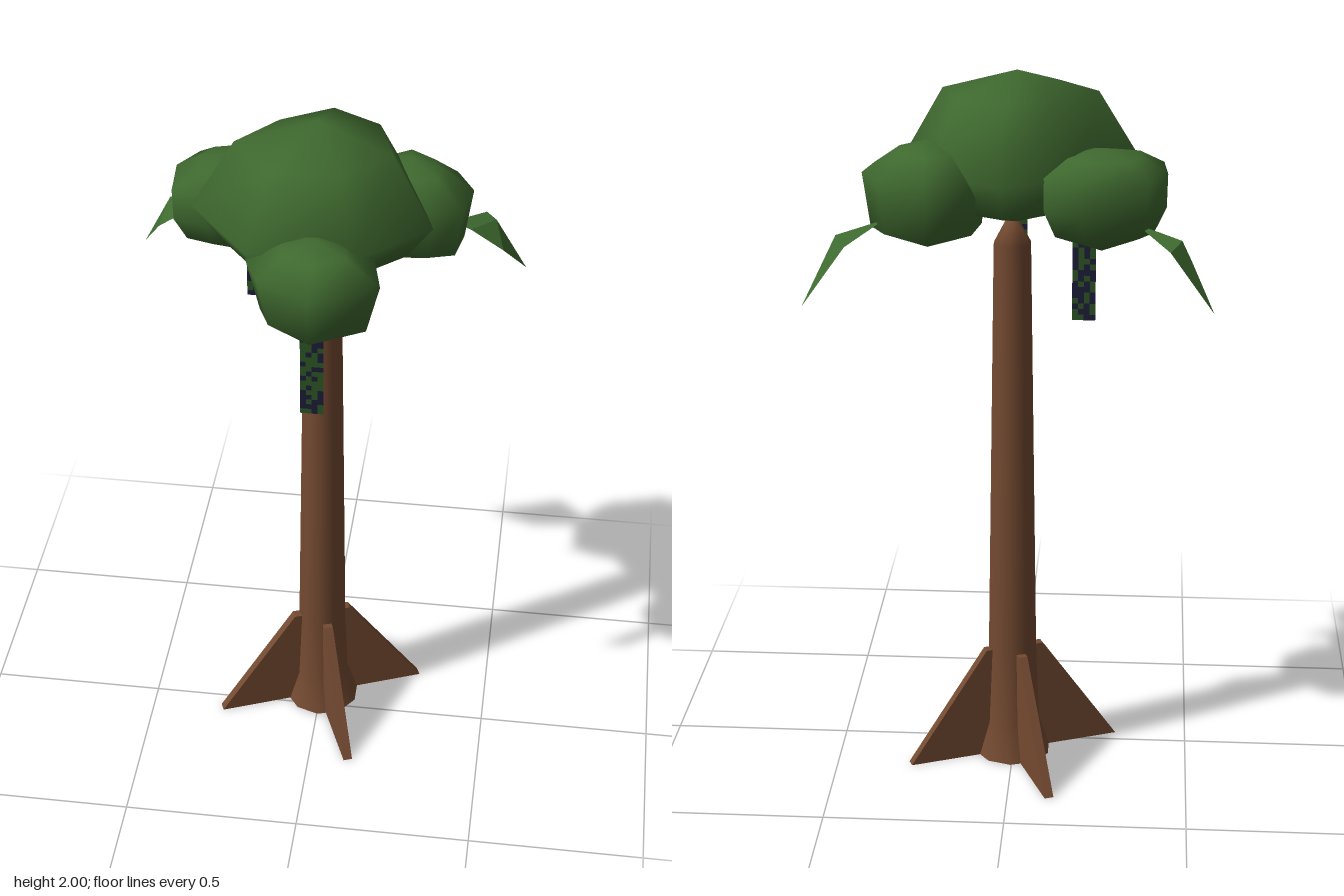
import * as THREE from 'three';

const mat = (name, color, side = THREE.FrontSide) => {
  const m = new THREE.MeshStandardMaterial({ color, side });
  m.name = name;
  return m;
};

// Closed faceted mass: one outline, scaled about its centre at each [y, scale] level, with end poles
function loft(outline, [cx, cz], levels, yBottom, yTop) {
  const n = outline.length, pos = [cx, yBottom, cz], index = [];
  for (const [y, s] of levels)
    for (const [x, z] of outline) pos.push(cx + (x - cx) * s, y, cz + (z - cz) * s);
  pos.push(cx, yTop, cz);
  const top = 1 + n * levels.length, last = top - n;
  for (let i = 0; i < n; i++) {
    const j = (i + 1) % n;
    index.push(0, 1 + j, 1 + i, top, last + i, last + j);
    for (let k = 0; k < levels.length - 1; k++) {
      const a = 1 + k * n + i, b = 1 + k * n + j;
      index.push(a, b, b + n, a, b + n, a + n);
    }
  }
  const g = new THREE.BufferGeometry();
  g.setAttribute('position', new THREE.Float32BufferAttribute(pos, 3));
  g.setIndex(index);
  g.computeVertexNormals();
  return g;
}

export function createModel() {
  const model = new THREE.Group();
  const bark = mat('bark', 0x744a31);
  const foliage = mat('foliage', 0x3f692f);
  const leafGreen = mat('leafGreen', 0x3f6c30, THREE.DoubleSide);
  const vineNavy = mat('vineNavy', 0x1d1d3a, THREE.DoubleSide);
  const vineGreen = mat('vineGreen', 0x2d5524, THREE.DoubleSide);

  const add = (name, geometry, material, parent = model) => {
    const mesh = new THREE.Mesh(geometry, material);
    mesh.name = name;
    parent.add(mesh);
    return mesh;
  };

  // Trunk with flared foot and tapered tip
  const profile = [[0.11, 0], [0.08, 0.1], [0.07, 0.33], [0.052, 1.53], [0.02, 1.59], [0, 1.59]];
  add('trunk', new THREE.LatheGeometry(profile.map(p => new THREE.Vector2(...p)), 10), bark)
    .position.set(0.003, 0, -0.065);
  const foot = add('trunkFoot', new THREE.CircleGeometry(0.11, 10), bark);
  foot.rotation.x = Math.PI / 2;
  foot.position.set(0.003, 0, -0.065);

  // Four buttress roots
  const fin = new THREE.Shape([[0, 0], [0.313, 0], [0.085, 0.33], [0, 0.33]]
    .map(p => new THREE.Vector2(...p)));
  const finGeometry = new THREE.ExtrudeGeometry(fin, { depth: 0.026, bevelEnabled: false });
  finGeometry.translate(0, 0, -0.013);
  for (let i = 0; i < 4; i++) {
    const root = add('buttressRoot', finGeometry, bark);
    root.position.set(0, 0, -0.065);
    root.rotation.y = -Math.atan2(0.295, 0.12) + i * Math.PI / 2;
  }

  // Main crown
  add('crown', loft(
    [[-0.165, 0.195], [0.11, 0.19], [0.3, 0.015], [0.22, -0.23], [0.02, -0.34], [-0.185, -0.215], [-0.34, -0.02]],
    [-0.01, -0.065], [[1.65, 0.78], [1.75, 1], [1.94, 0.65]], 1.59, 2), foliage);

  // Three smaller foliage clumps around it
  add('frontClump', loft(
    [[-0.125, 0.27], [0.02, 0.363], [0.19, 0.265], [0.16, 0.13], [0.05, 0.04], [-0.1, 0.06], [-0.165, 0.18]],
    [0.015, 0.2], [[1.58, 0.8], [1.725, 1], [1.78, 0.5]], 1.525, 1.81), foliage);
  add('leftClump', loft(
    [[0.15, -0.04], [0.29, -0.055], [0.37, -0.08], [0.39, -0.19], [0.34, -0.28], [0.21, -0.365], [0.08, -0.28], [0.06, -0.14]],
    [0.22, -0.19], [[1.605, 0.88], [1.75, 1], [1.81, 0.5]], 1.55, 1.84), foliage);
  add('rightClump', loft(
    [[-0.31, -0.045], [-0.17, -0.02], [-0.08, -0.12], [-0.09, -0.27], [-0.19, -0.33], [-0.36, -0.28], [-0.41, -0.2], [-0.4, -0.07]],
    [-0.24, -0.18], [[1.6, 0.8], [1.67, 0.99], [1.76, 1], [1.8, 0.6]], 1.545, 1.82), foliage);

  // Drooping leaves, mirrored: root, back corner, midrib, front corner, tip
  for (const s of [1, -1]) {
    const points = [[0.33, 1.63, -0.22], [0.42, 1.59, -0.347], [0.45, 1.605, -0.285],
      [0.475, 1.54, -0.235], [0.537, 1.425, -0.337], [0.385, 1.61, -0.218]];
    const g = new THREE.BufferGeometry();
    g.setAttribute('position', new THREE.Float32BufferAttribute(points.flatMap(([x, y, z]) => [s * x, y, z]), 3));
    const faces = [[0, 2, 1], [0, 5, 2], [5, 3, 2], [1, 2, 4], [2, 3, 4]];
    g.setIndex(faces.flatMap(([a, b, c]) => (s > 0 ? [a, b, c] : [a, c, b])));
    const flat = g.toNonIndexed();
    flat.computeVertexNormals();
    add(s > 0 ? 'leftLeaf' : 'rightLeaf', flat, leafGreen);
  }

  // Hanging vines: flat strips of mottled cells, grouped by colour
  let seed = 11;
  const random = () => (seed = (seed * 16807) % 2147483647) / 2147483647;
  const vine = (name, x, yLow, yHigh, z) => {
    const columns = 4, rows = Math.round((yHigh - yLow) / 0.015);
    const g = new THREE.PlaneGeometry(0.062, yHigh - yLow, columns, rows);
    g.clearGroups();
    for (let i = 0; i < columns * rows; i++) g.addGroup(i * 6, 6, random() < 0.5 ? 0 : 1);
    add(name, g, [vineNavy, vineGreen]).position.set(x, (yLow + yHigh) / 2, z);
  };
  vine('frontVine', 0.008, 1.265, 1.6, 0.2);
  vine('sideVine', -0.195, 1.358, 1.62, -0.2);

  return model;
}
